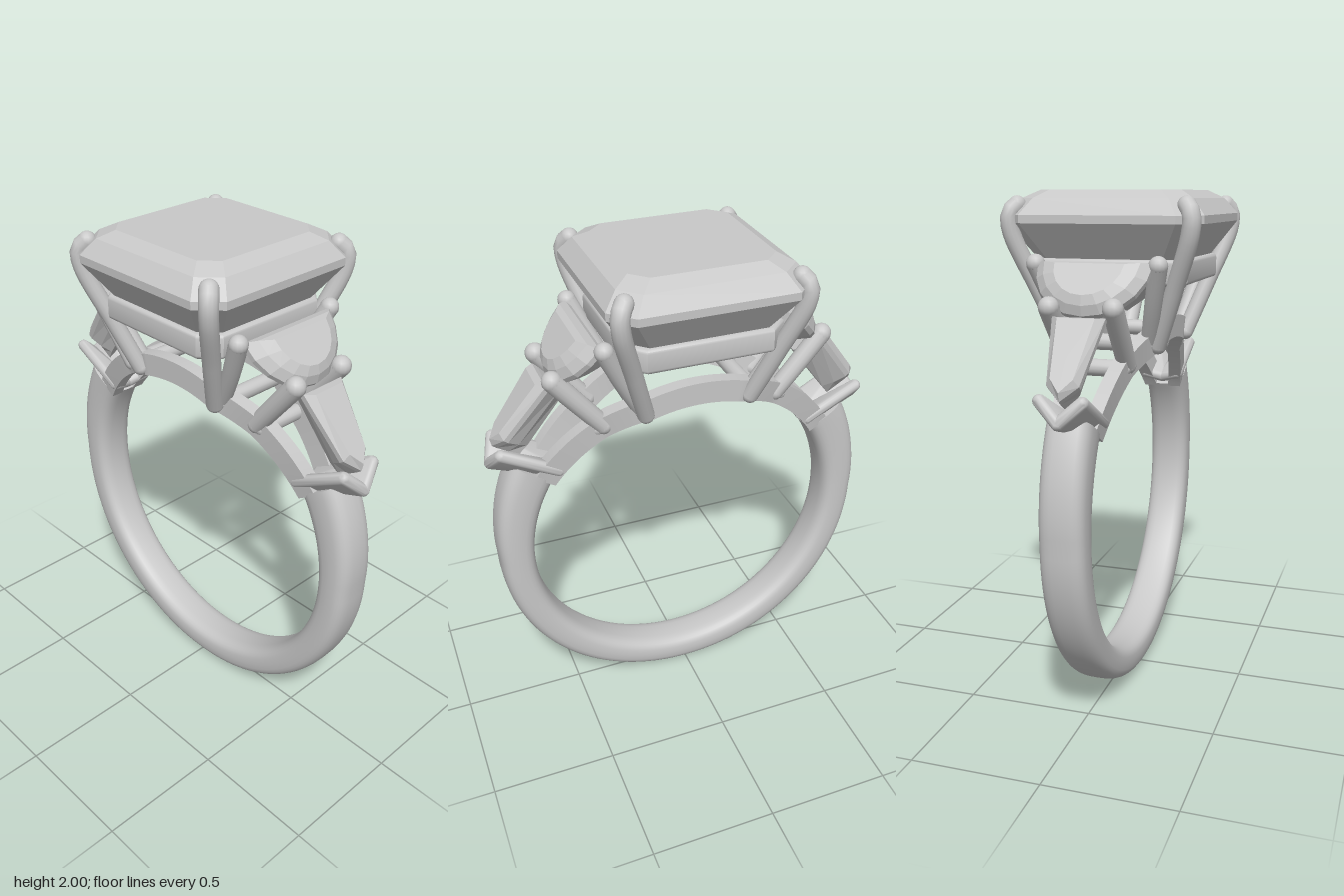
import * as THREE from 'three';
import { toCreasedNormals } from 'three/addons/utils/BufferGeometryUtils.js';
import { ConvexGeometry } from 'three/addons/geometries/ConvexGeometry.js';

const V = (x, y, z) => new THREE.Vector3(x, y, z);
const silver = new THREE.MeshStandardMaterial({ color: 0xc8c8c8 });
silver.name = 'silver grey';

const CY = 0.778, R = 0.648; // finger hole centre height and radius

function part(name, geometry) {
  const mesh = new THREE.Mesh(geometry, silver);
  mesh.name = name;
  return mesh;
}

// Skin a row of equal-length loops and cap both ends; crease 0 gives flat facets
function loft(sections, crease = 0) {
  const pos = [];
  const tri = (...pts) => pts.forEach((p) => pos.push(p.x, p.y, p.z));
  const n = sections[0].length;
  for (let i = 0; i < sections.length - 1; i++) {
    for (let j = 0; j < n; j++) {
      const k = (j + 1) % n;
      const a = sections[i][j], b = sections[i][k], c = sections[i + 1][j], d = sections[i + 1][k];
      tri(a, b, c);
      tri(b, d, c);
    }
  }
  const centre = (s) => s.reduce((m, p) => m.add(p), V(0, 0, 0)).divideScalar(n);
  const first = sections[0], last = sections[sections.length - 1];
  const c0 = centre(first), c1 = centre(last);
  for (let j = 0; j < n; j++) {
    const k = (j + 1) % n;
    tri(c0, first[k], first[j]);
    tri(c1, last[j], last[k]);
  }
  const geo = new THREE.BufferGeometry();
  geo.setAttribute('position', new THREE.Float32BufferAttribute(pos, 3));
  geo.computeVertexNormals();
  return crease ? toCreasedNormals(geo, crease) : geo;
}

// Faceted stone: an [x, z] outline scaled about x = cx at levels [y, scaleX, scaleZ]
const gem = (outline, cx, levels) => loft(levels.map(([y, sx, sz]) =>
  outline.map(([x, z]) => V(cx + (x - cx) * sx, y, z * sz))));

// Rounded solid wrapped around a few balls
function ballHull(centres, r) {
  const ball = new THREE.IcosahedronGeometry(r, 2).attributes.position;
  const pts = [];
  for (const c of centres) {
    for (let i = 0; i < ball.count; i++) pts.push(V(0, 0, 0).fromBufferAttribute(ball, i).add(c));
  }
  return toCreasedNormals(new ConvexGeometry(pts), 0.9);
}

// Tapered round wire with domed ends
function prong(name, points, r0, r1) {
  const group = new THREE.Group();
  group.name = name;
  const curve = new THREE.CatmullRomCurve3(points);
  const seg = 20, sides = 14;
  const geo = new THREE.TubeGeometry(curve, seg, 1, sides);
  const p = geo.attributes.position;
  for (let i = 0; i < p.count; i++) {
    const t = Math.floor(i / (sides + 1)) / seg;
    const c = curve.getPointAt(t);
    const v = V(0, 0, 0).fromBufferAttribute(p, i).sub(c).multiplyScalar(r0 + (r1 - r0) * t).add(c);
    p.setXYZ(i, v.x, v.y, v.z);
  }
  group.add(part('wire', geo));
  [[points[0], r0], [points[points.length - 1], r1]].forEach(([c, r]) => {
    const tip = part('tip', new THREE.SphereGeometry(r, 14, 10));
    tip.position.copy(c);
    group.add(tip);
  });
  return group;
}

// Point at angle a from the top of the ring, r from its centre
const polar = (a, r, z) => V(Math.sin(a) * r, CY + Math.cos(a) * r, z);
const deg = THREE.MathUtils.degToRad;

// Shank: rounded section, thickening toward the shoulders
function shank() {
  const sections = [];
  for (let i = 0; i <= 90; i++) {
    const d = 57 + (246 * i) / 90;
    const up = 90 - Math.min(d, 360 - d); // degrees above the horizontal
    const t = up > 0 ? 0.142 + 0.048 * (up / 33) : 0.142 + 0.012 * (up / 90);
    const loop = [];
    for (let j = 0; j < 28; j++) {
      const a = (j / 28) * Math.PI * 2;
      const pow = (v) => Math.sign(v) * Math.abs(v) ** 0.65;
      loop.push(polar(deg(d), R + t / 2 + (t / 2) * pow(Math.cos(a)), 0.088 * pow(Math.sin(a))));
    }
    sections.push(loop);
  }
  return loft(sections, 1.2);
}

// Half spacing of the gallery rails at d degrees from the top
function railZ(d) {
  const a = Math.abs(d);
  if (a < 16) return 0.165;
  return a < 32 ? 0.165 - 0.06 * ((a - 16) / 16) : 0.105 - 0.05 * ((a - 32) / 26);
}

function galleryRail(side) {
  const sections = [];
  for (let d = -58; d <= 58; d += 2) {
    const z = side * railZ(d), h = 0.028, r1 = R + 0.09;
    sections.push([[r1, -h], [r1, h], [R, h], [R, -h]].map(([r, w]) => polar(deg(d), r, z + w)));
  }
  return loft(sections, 0.6);
}

// Square with cut corners, in x then z
const cutSquare = (h, c) => [[h, -h + c], [h, h - c], [h - c, h], [-h + c, h],
  [-h, h - c], [-h, -h + c], [-h + c, -h], [h - c, -h]];

function basketFrame() {
  const shape = new THREE.Shape(cutSquare(0.295, 0.06).map(([x, z]) => new THREE.Vector2(x, z)));
  shape.holes.push(new THREE.Path(cutSquare(0.225, 0.05).map(([x, z]) => new THREE.Vector2(x, z))));
  const geo = new THREE.ExtrudeGeometry(shape, {
    depth: 0.065, bevelEnabled: true, bevelSize: 0.015, bevelThickness: 0.015, bevelSegments: 3,
  });
  geo.rotateX(-Math.PI / 2);
  geo.translate(0, 1.67, 0);
  return toCreasedNormals(geo, 0.6);
}

// Everything on the left shoulder; turned half round for the other one
function shoulder() {
  const g = new THREE.Group();

  const arc = [];
  for (let i = 0; i <= 10; i++) {
    const a = (i / 10 - 0.5) * Math.PI;
    arc.push([0.23 * Math.cos(a), 0.22 * Math.sin(a)]);
  }
  const moon = part('halfMoonStone', gem(arc, 0.09,
    [[0.05, 0.6, 0.6], [0.03, 0.83, 0.83], [0, 1, 1], [-0.02, 1, 1], [-0.08, 0.7, 0.65], [-0.14, 0.2, 0.25]]));
  moon.position.set(0.385, 1.74, 0);
  moon.rotation.z = -0.86;
  g.add(moon);

  const taper = [[0, -0.1], [0.27, -0.06], [0.33, 0], [0.27, 0.06], [0, 0.1]];
  const baguette = part('taperedStone', gem(taper, 0.15,
    [[0.025, 0.88, 0.7], [0, 1, 1], [-0.02, 1, 1], [-0.07, 0.97, 0.7], [-0.115, 0.94, 0.25]]));
  baguette.position.set(0.56, 1.565, 0);
  baguette.rotation.z = -0.915;
  g.add(baguette);

  for (const s of [1, -1]) {
    g.add(prong('halfMoonProng', [V(0.375, 1.735, s * 0.235), V(0.3, 1.58, s * 0.195), V(0.22, 1.43, s * 0.155)], 0.036, 0.03));
    g.add(prong('sharedProng', [V(0.54, 1.595, s * 0.12), V(0.45, 1.485, s * 0.117), V(0.355, 1.37, s * 0.112)], 0.039, 0.036));
    // One arm of the chevron guarding the pointed end
    g.add(part('chevronCollar', ballHull([
      V(0.745, 1.3, s * 0.078), V(0.775, 1.23, 0), V(0.53, 1.185, s * 0.075), V(0.55, 1.165, 0)], 0.024)));
  }

  // Bars tying the two gallery rails together
  for (const d of [19, 33]) {
    g.add(part('galleryCrossbar', ballHull([-1, 1].map((s) => polar(deg(d), R + 0.045, s * railZ(d))), 0.032)));
  }
  return g;
}

export function createModel() {
  const ring = new THREE.Group();
  ring.name = 'ring';
  ring.add(part('shank', shank()));

  // Centre stone with stepped crown and pavilion
  ring.add(part('centreStone', gem(cutSquare(0.383, 0.085), 0, [
    [2, 0.72, 0.72], [1.97, 0.87, 0.87], [1.91, 1, 1], [1.88, 1, 1], [1.75, 0.76, 0.76], [1.53, 0.01, 0.01]])));
  ring.add(part('basketFrame', basketFrame()));

  for (const z of [1, -1]) {
    ring.add(part('galleryRail', galleryRail(z)));
    for (const x of [1, -1]) {
      ring.add(prong('centreProng', [
        V(x * 0.325, 1.945, z * 0.325), V(x * 0.346, 1.915, z * 0.346), V(x * 0.344, 1.85, z * 0.344),
        V(x * 0.28, 1.64, z * 0.27), V(x * 0.212, 1.425, z * 0.19)], 0.035, 0.033));
    }
  }

  for (const [name, turn] of [['leftShoulder', 0], ['rightShoulder', Math.PI]]) {
    const g = shoulder();
    g.name = name;
    g.rotation.y = turn;
    ring.add(g);
  }
  return ring;
}
